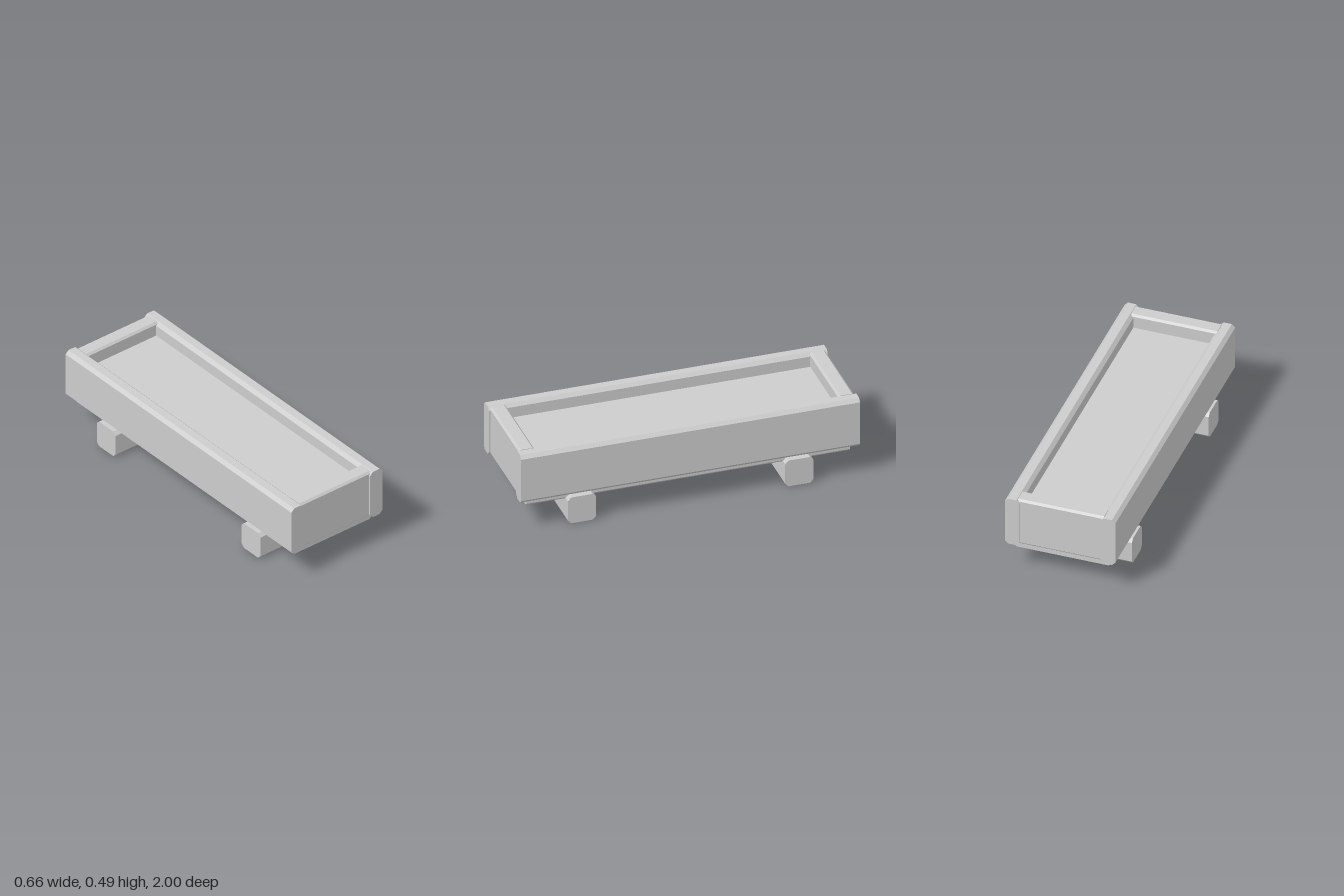
import * as THREE from 'three';

const grey = new THREE.MeshStandardMaterial({ color: 0xcccccc });
grey.name = 'plain grey';

// Beam with four chamfered long edges: w x h section, extruded along z, centred.
function beam(name, w, h, length, chamfer) {
  const x = w / 2, y = h / 2, c = chamfer;
  const section = new THREE.Shape([
    [-x + c, -y], [x - c, -y], [x, -y + c], [x, y - c],
    [x - c, y], [-x + c, y], [-x, y - c], [-x, -y + c],
  ].map(([px, py]) => new THREE.Vector2(px, py)));
  const geometry = new THREE.ExtrudeGeometry(section, { depth: length, bevelEnabled: false });
  geometry.translate(0, 0, -length / 2);
  const mesh = new THREE.Mesh(geometry, grey);
  mesh.name = name;
  return mesh;
}

export function createModel() {
  const planter = new THREE.Group();
  planter.name = 'planterBox';

  const place = (mesh, x, y, z, crosswise = false) => {
    mesh.position.set(x, y, z);
    if (crosswise) mesh.rotation.y = Math.PI / 2;
    planter.add(mesh);
  };

  // Base plank, protruding below the walls
  place(beam('basePlank', 0.574, 0.056, 1.91, 0.014), 0, 0.164, 0);

  // Raised floor inside the walls
  const floor = new THREE.Mesh(new THREE.BoxGeometry(0.49, 0.21, 1.8), grey);
  floor.name = 'innerFloor';
  place(floor, 0, 0.295, 0);

  for (const side of [-1, 1]) {
    const hand = side > 0 ? 'left' : 'right';
    const end = side > 0 ? 'front' : 'back';

    // Long side walls, end walls between them, and cross feet
    place(beam(hand + 'Wall', 0.088, 0.308, 2, 0.02), side * 0.284, 0.332, 0);
    place(beam(end + 'Wall', 0.094, 0.303, 0.51, 0.012), 0, 0.3345, side * 0.943, true);
    place(beam(end + 'Foot', 0.166, 0.167, 0.656, 0.02), 0, 0.0835, side * 0.641, true);
  }
  return planter;
}
